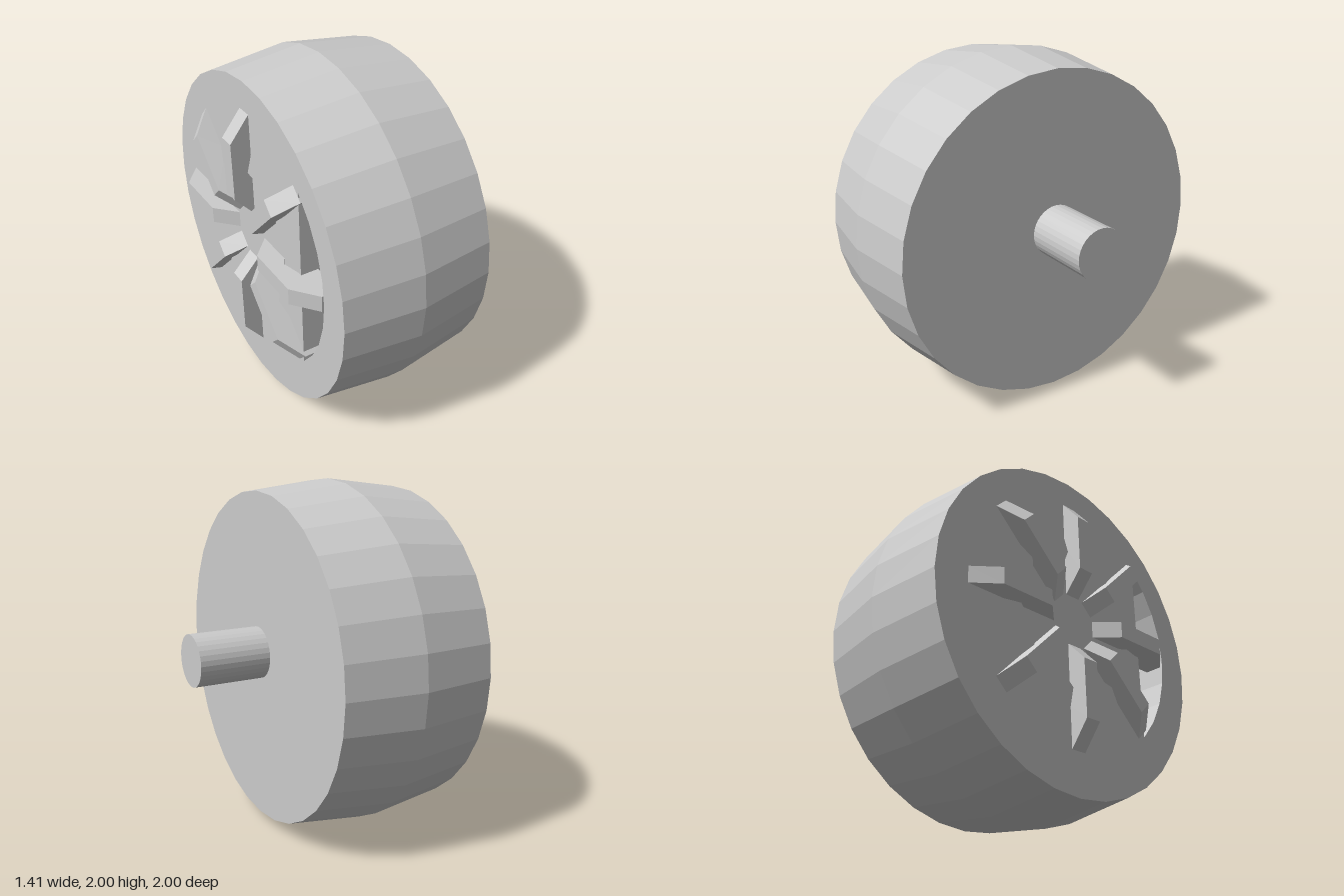
import * as THREE from 'three';

const SIDES = 32, LEFT = -0.6, MID = -0.155, RIGHT = 0.295;
const HUB_Y = 1.04, POCKET_R = 0.76, RIM = 0.945;

export function createModel() {
  const group = new THREE.Group();
  const solid = new THREE.MeshStandardMaterial({ color: 0xcccccc, flatShading: true });
  const open = new THREE.MeshStandardMaterial({ color: 0xcccccc, flatShading: true, side: THREE.DoubleSide });
  const add = (name, geometry, material, parent = group) => {
    const mesh = new THREE.Mesh(geometry, material);
    mesh.name = name;
    parent.add(mesh);
    return mesh;
  };

  // crowned tread and closed right side, turned round the x axis
  const profile = [[RIM, LEFT], [1, MID], [RIM, RIGHT], [0, RIGHT]].map(([r, x]) => new THREE.Vector2(r, x));
  const tread = new THREE.LatheGeometry(profile, SIDES);
  tread.rotateZ(-Math.PI / 2);
  add('wheelBody', tread, open).position.y = 1;

  // left side with a segment-shaped opening; shape x becomes model z
  const face = new THREE.Shape();
  for (let i = 0; i < SIDES; i++) {
    const a = (i / SIDES) * Math.PI * 2;
    const x = RIM * Math.cos(a), y = 1 + RIM * Math.sin(a);
    if (i === 0) face.moveTo(x, y); else face.lineTo(x, y);
  }
  face.closePath();
  const opening = [];
  for (let i = 0; i <= 8; i++) {
    const a = Math.PI / 4 - (i / 8) * (Math.PI / 2);
    opening.push(new THREE.Vector2(POCKET_R * Math.cos(a), HUB_Y + POCKET_R * Math.sin(a)));
  }
  face.holes.push(new THREE.Path(opening));
  const faceGeometry = new THREE.ShapeGeometry(face);
  faceGeometry.rotateY(-Math.PI / 2);
  add('wheelFace', faceGeometry, open).position.x = LEFT;

  // walls of the pocket behind the opening
  const depth = RIGHT - LEFT, pocketX = (LEFT + RIGHT) / 2;
  const arc = new THREE.CylinderGeometry(POCKET_R, POCKET_R, depth, 8, 1, true, -Math.PI / 4, Math.PI / 2);
  arc.rotateZ(Math.PI / 2);
  add('pocketCurvedWall', arc, open).position.set(pocketX, HUB_Y, 0);
  const chord = new THREE.PlaneGeometry(depth, POCKET_R * Math.SQRT2);
  add('pocketFlatWall', chord, open).position.set(pocketX, HUB_Y, POCKET_R * Math.SQRT1_2);

  // axle
  const axle = new THREE.CylinderGeometry(0.148, 0.148, 0.42, SIDES);
  axle.rotateZ(-Math.PI / 2);
  add('axle', axle, solid).position.set(0.495, HUB_Y, 0);

  // eight arched spokes, sunk into the left side: profile is (x, radius)
  const spokeShape = new THREE.Shape([
    [-0.5, 0.15], [-0.5, 0.37], [-0.6, 0.37], [-0.625, 0.41], [-0.6, 0.51], [-0.5, 0.51],
    [-0.5, 0.74], [-0.6, 0.74], [-0.71, 0.6], [-0.71, 0.27], [-0.6, 0.15],
  ].map(([x, r]) => new THREE.Vector2(x, r)));
  const spoke = new THREE.ExtrudeGeometry(spokeShape, { depth: 0.095, bevelEnabled: false });
  spoke.translate(0, 0, -0.0475);
  const spokes = new THREE.Group();
  spokes.name = 'spokes';
  spokes.position.y = HUB_Y;
  group.add(spokes);
  for (let i = 0; i < 8; i++) add('spoke', spoke, solid, spokes).rotation.x = (i * Math.PI) / 4;

  return group;
}
